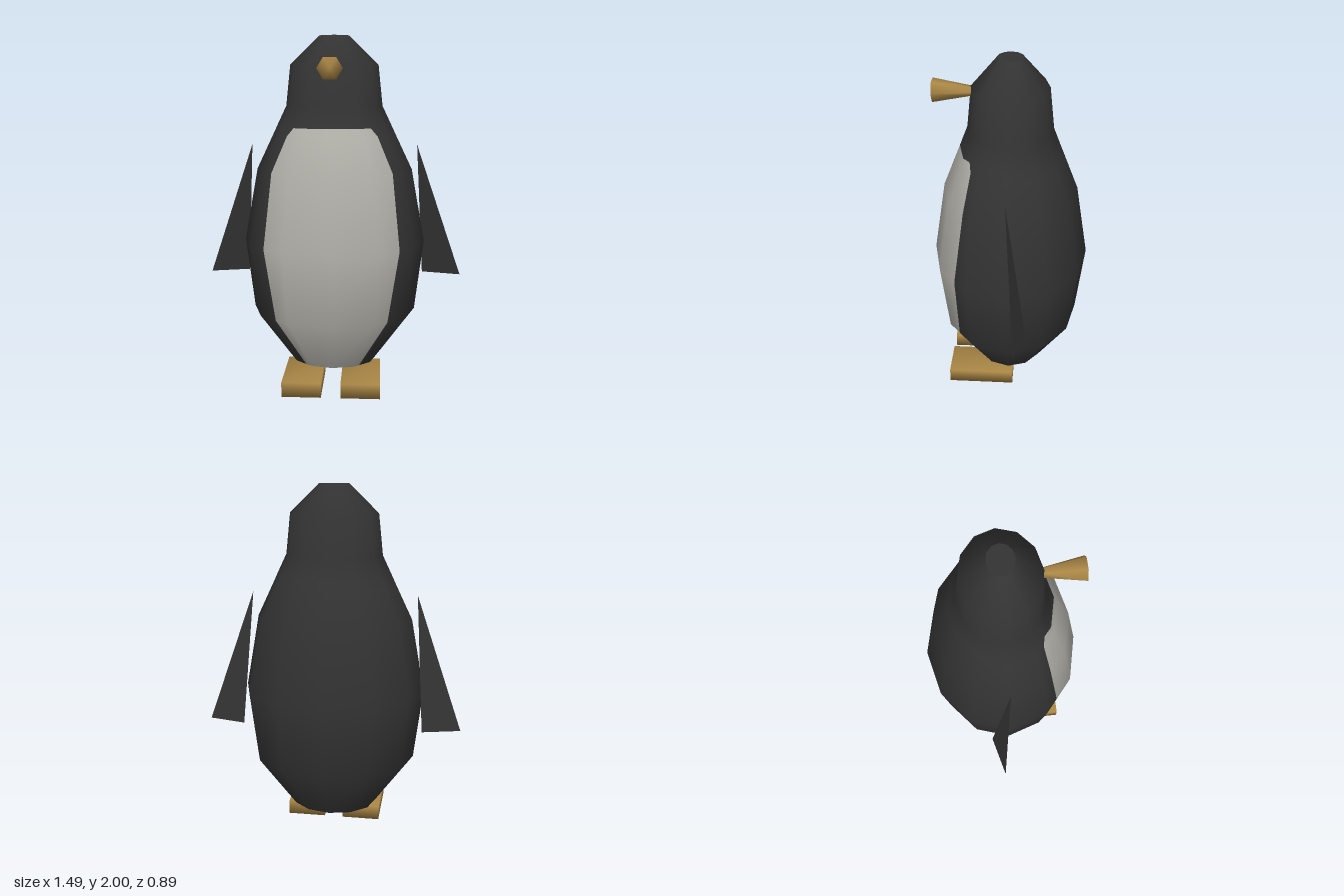
import * as THREE from 'three';
import { mergeVertices } from 'three/addons/utils/BufferGeometryUtils.js';

const paint = (name, color, side = THREE.FrontSide) => {
  const m = new THREE.MeshStandardMaterial({ color, side });
  m.name = name;
  return m;
};

// Shares the corners of a solid so that its shading is smooth all over
function smooth(geometry) {
  geometry.deleteAttribute('normal');
  geometry.deleteAttribute('uv');
  const g = mergeVertices(geometry, 1e-4);
  g.computeVertexNormals();
  return g;
}

// Rings of the body: height, half width, half depth, belly edge as a share of the half width
const RINGS = [
  [0.115, 0.25, 0.21, 0.62],
  [0.42, 0.475, 0.4, 0.66],
  [0.83, 0.525, 0.447, 0.715],
  [1.25, 0.447, 0.377, 0.745],
  [1.45, 0.351, 0.298, 0.71],
  [1.495, 0.33, 0.28, 0.64],
  [1.61, 0.275, 0.235, 0.64],
  [1.84, 0.25, 0.21, 0.64],
  [2.0, 0.085, 0.07, 0.64],
];
const BELLY_ROWS = 5;

// Twelve-sided ring with one extra point on each side where the belly ends
function ringPoints([y, rx, rz, f]) {
  const c = Math.cos(Math.PI / 6);
  const edgeZ = c + (f - 0.5) / (c - 0.5) * (0.5 - c);
  const pts = [];
  for (let i = 0; i < 12; i++) {
    const a = i * Math.PI / 6;
    pts.push([Math.sin(a), Math.cos(a)]);
    if (i === 1) pts.push([f, edgeZ]);
    if (i === 10) pts.push([-f, edgeZ]);
  }
  return pts.flatMap(([x, z]) => [x * rx, y, z * rz]);
}

function bodyGeometry() {
  const n = 14;
  const dark = [], light = [];
  for (let r = 0; r < RINGS.length - 1; r++) {
    for (let i = 0; i < n; i++) {
      const a = r * n + i, b = r * n + (i + 1) % n;
      const front = i < 2 || i > 11;
      (front && r < BELLY_ROWS ? light : dark).push(a, b, b + n, a, b + n, a + n);
    }
  }
  const g = new THREE.BufferGeometry();
  g.setAttribute('position', new THREE.Float32BufferAttribute(RINGS.flatMap(ringPoints), 3));
  g.setIndex([...dark, ...light]);
  g.addGroup(0, dark.length, 0);
  g.addGroup(dark.length, light.length, 1);
  g.computeVertexNormals();
  return g;
}

export function createModel() {
  const model = new THREE.Group();
  model.name = 'penguin';
  const black = paint('black feathers', 0x333333, THREE.DoubleSide);
  const grey = paint('pale belly', 0xb2b1aa, THREE.DoubleSide);
  const ochre = paint('ochre', 0xa88545);

  const add = (name, geometry, material, x = 0, y = 0, z = 0) => {
    const mesh = new THREE.Mesh(geometry, material);
    mesh.name = name;
    mesh.position.set(x, y, z);
    model.add(mesh);
    return mesh;
  };

  // Body and head in one skin, open underneath, with a flat crown
  add('body', bodyGeometry(), [black, grey]);
  const crown = new THREE.CircleGeometry(1, 12).rotateX(-Math.PI / 2).scale(0.085, 1, 0.07);
  add('crown', crown, black, 0, 2, 0);

  // Six-sided beak, flaring forwards
  const beak = new THREE.CylinderGeometry(0.068, 0.028, 0.21, 6)
    .rotateY(Math.PI / 2).rotateX(Math.PI / 2).scale(1, 0.95, 1);
  // Turn the hexagon so that corners point sideways
  beak.computeBoundingBox();
  if (beak.boundingBox.max.x < 0.065) beak.scale(1, 1 / 0.95, 1).rotateZ(Math.PI / 6).scale(1, 0.95, 1);
  add('beak', smooth(beak), ochre, 0, 1.812, 0.31);

  for (const s of [1, -1]) {
    const side = s > 0 ? 'left' : 'right';
    // Flipper: a single flat triangle
    const corners = [[0.475, 1.39, 0], [0.525, 0.615, -0.11], [0.745, 0.615, -0.055]];
    if (s < 0) corners.reverse();
    const flipper = new THREE.BufferGeometry();
    flipper.setAttribute('position', new THREE.Float32BufferAttribute(
      corners.flatMap(([x, y, z]) => [s * x, y, z]), 3));
    flipper.computeVertexNormals();
    add(side + 'Flipper', flipper, black);
    // Foot
    add(side + 'Foot', smooth(new THREE.BoxGeometry(0.222, 0.085, 0.387)), ochre, s * 0.166, 0.0425, 0.167);
  }
  return model;
}
